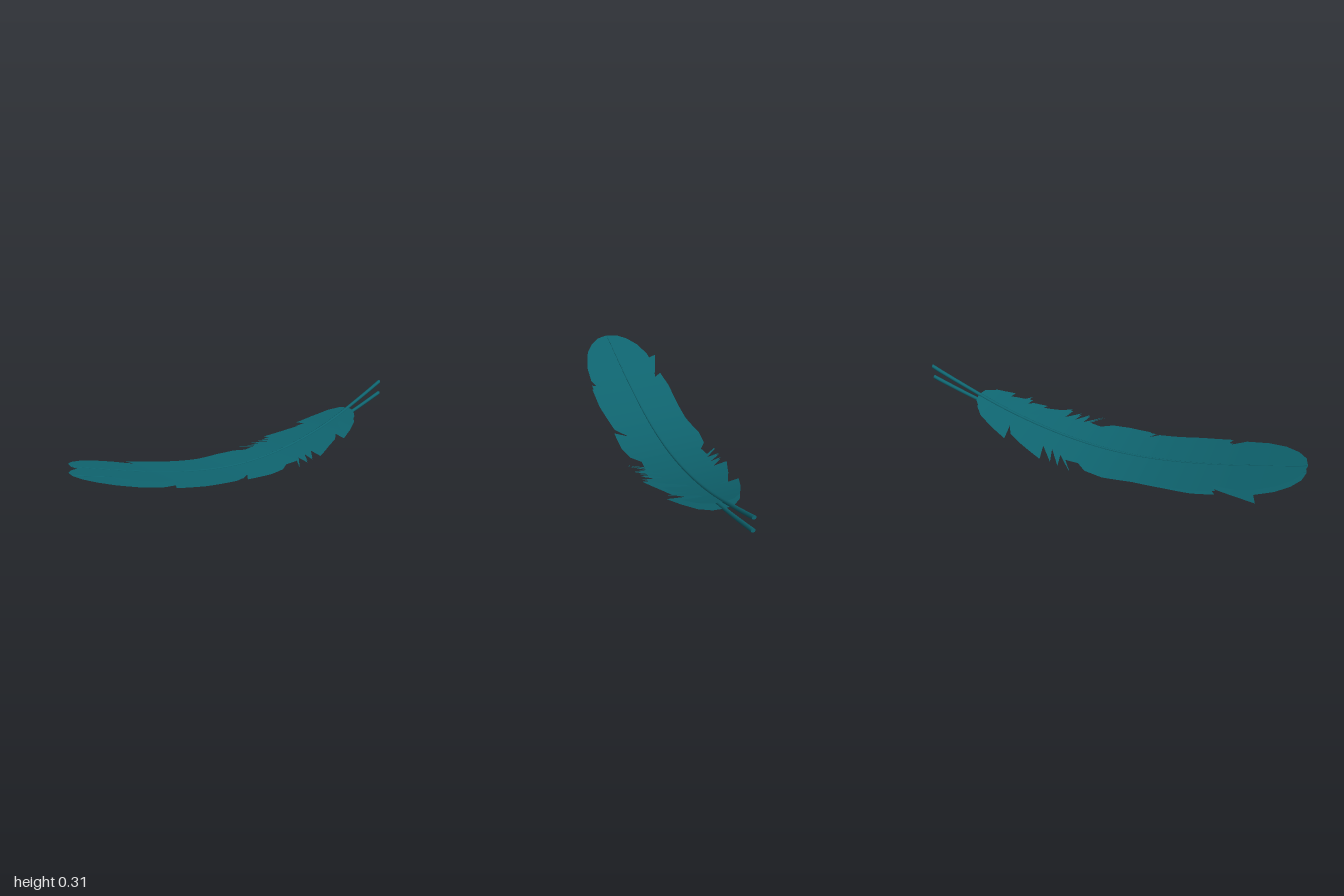
import * as THREE from 'three';

// Height of each quill, sampled every 0.2 from z = -1.2 to z = 1.2
const UPPER = [0.4, 0.3, 0.212, 0.132, 0.072, 0.032, 0.013, 0.018, 0.044, 0.085, 0.137, 0.193, 0.25];
const LOWER = [0.305, 0.233, 0.165, 0.106, 0.055, 0.023, 0.009, 0.013, 0.031, 0.062, 0.105, 0.153, 0.2];

// Half outlines as [x, z], from the quill end to the tip
const BASE = [[0, -0.73], [0.05, -0.72], [0.1, -0.675], [0.145, -0.59]];
const BARBS = [
  [0.22, -0.285], [0.12, -0.31], [0.215, -0.23], [0.12, -0.26], [0.225, -0.185],
  [0.14, -0.205], [0.245, -0.11], [0.165, -0.17], [0.16, -0.1],
];
const TIP = [[0.185, 0.79], [0.155, 0.88], [0.11, 0.945], [0.06, 0.985], [0, 1]];

const upperLeft = [
  ...BASE, [0.05, -0.61], [0.06, -0.585], [0.14, -0.53], [0.18, -0.505], [0.09, -0.525],
  [0.14, -0.48], [0.165, -0.41], [0.05, -0.465], [0.06, -0.435], [0.15, -0.37],
  ...BARBS, [0.2, -0.04], [0.215, 0.05], [0.212, 0.17], [0.14, 0.13], [0.2, 0.22],
  [0.205, 0.32], [0.215, 0.45], [0.21, 0.61], [0.16, 0.585], [0.197, 0.68], ...TIP,
];
const upperRight = [
  ...BASE, [0.18, -0.5], [0.07, -0.52], [0.13, -0.49], [0.17, -0.41],
  ...BARBS, [0.2, -0.05], [0.215, 0.05], [0.2, 0.2], [0.205, 0.35],
  [0.215, 0.5], [0.205, 0.615], [0.165, 0.59], [0.19, 0.7], ...TIP,
];
const lowerLeft = [
  ...BASE, [0.18, -0.505], [0.1, -0.525], [0.14, -0.48], [0.17, -0.4],
  ...BARBS, [0.2, -0.04], [0.215, 0.05], [0.21, 0.2], [0.15, 0.15], [0.2, 0.25],
  [0.215, 0.45], [0.21, 0.61], [0.165, 0.585], [0.195, 0.68], ...TIP,
];
const lowerRight = [
  ...BASE, [0.18, -0.5], [0.07, -0.52], [0.13, -0.49], [0.17, -0.41],
  ...BARBS, [0.2, -0.05], [0.215, 0.05], [0.2, 0.2], [0.205, 0.35],
  [0.215, 0.5], [0.205, 0.615], [0.155, 0.575], [0.245, 0.81], ...TIP,
];

// Smooth height function from evenly spaced samples
function bendFrom(samples) {
  const curve = new THREE.SplineCurve(samples.map((y, i) => new THREE.Vector2(-1.2 + 0.2 * i, y)));
  return z => curve.getPoint((z + 1.2) / 2.4).y;
}

// Keep the part of a polygon on one side of the line z = limit
function clip(poly, limit, sign) {
  const out = [];
  poly.forEach((p, i) => {
    const q = poly[(i + 1) % poly.length];
    const a = (p.y - limit) * sign, b = (q.y - limit) * sign;
    if (a >= 0) out.push(p);
    if ((a > 0 && b < 0) || (a < 0 && b > 0)) out.push(p.clone().lerp(q, a / (a - b)));
  });
  return out;
}

// Half vane: cut into bands along z so that it bends smoothly
function vaneGeometry(outline, side, bend) {
  const poly = outline.map(([x, z]) => new THREE.Vector2(x, z));
  const positions = [], normals = [];
  const step = 0.04;
  for (let z = -0.76; z < 1; z += step) {
    const band = clip(clip(poly, z, 1), z + step, -1);
    if (band.length < 3) continue;
    for (const face of THREE.ShapeUtils.triangulateShape(band, [])) {
      const [a, b, c] = face.map(i => band[i]);
      const area = (b.x - a.x) * (c.y - a.y) - (b.y - a.y) * (c.x - a.x);
      if (Math.abs(area) < 1e-8) continue;
      // Corners run so that every face looks up
      const corners = area * side < 0 ? [a, b, c] : [a, c, b];
      for (const p of corners) {
        positions.push(p.x * side, bend(p.y), p.y);
        const slope = (bend(p.y + 0.01) - bend(p.y - 0.01)) / 0.02;
        const n = new THREE.Vector3(0, 1, -slope).normalize();
        normals.push(n.x, n.y, n.z);
      }
    }
  }
  const geometry = new THREE.BufferGeometry();
  geometry.setAttribute('position', new THREE.Float32BufferAttribute(positions, 3));
  geometry.setAttribute('normal', new THREE.Float32BufferAttribute(normals, 3));
  return geometry;
}

// Tapered quill bent along the height function
function quillGeometry(bend) {
  const geometry = new THREE.CylinderGeometry(0.002, 0.0105, 1.99, 8, 48).rotateX(Math.PI / 2);
  const p = geometry.attributes.position;
  for (let i = 0; i < p.count; i++) p.setY(i, p.getY(i) + bend(p.getZ(i)));
  geometry.computeVertexNormals();
  return geometry;
}

function createFeather(name, samples, left, right, material) {
  const feather = new THREE.Group();
  feather.name = name;
  const bend = bendFrom(samples);
  const add = (part, geometry) => {
    const mesh = new THREE.Mesh(geometry, material);
    mesh.name = part;
    feather.add(mesh);
  };
  add('quill', quillGeometry(bend));
  add('leftVane', vaneGeometry(left, 1, bend));
  add('rightVane', vaneGeometry(right, -1, bend));
  return feather;
}

export function createModel() {
  const model = new THREE.Group();
  model.name = 'featherPair';
  const material = new THREE.MeshStandardMaterial({ color: 0x0f6570, side: THREE.DoubleSide });
  model.add(createFeather('upperFeather', UPPER, upperLeft, upperRight, material));
  model.add(createFeather('lowerFeather', LOWER, lowerLeft, lowerRight, material));
  return model;
}
